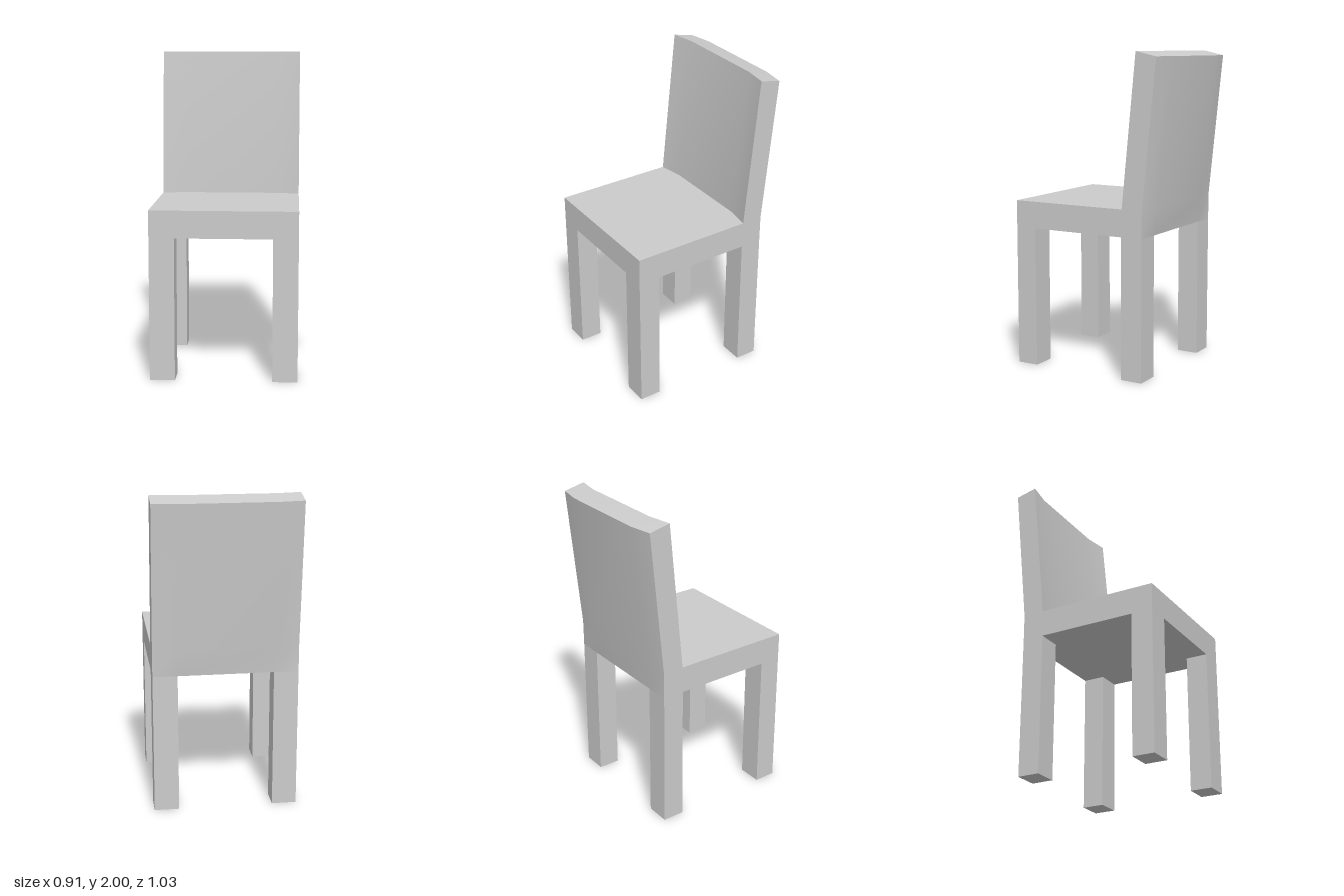
import * as THREE from 'three';
import { toCreasedNormals } from 'three/addons/utils/BufferGeometryUtils.js';

const X = 0.455, INNER = 0.3;          // half width, half gap between legs
const SEAT_Y = 0.89, SEAT_TOP = 1.06;
const FRONT = 0.513, BACK = -0.395;

// Backrest rows: height and z of the front and back faces, at the sides and in the middle
const ROWS = [
  { yf: SEAT_Y, yb: SEAT_Y, side: [-0.258, BACK], mid: [-0.284, BACK] },
  { yf: SEAT_TOP, yb: SEAT_TOP, side: [-0.258, -0.396], mid: [-0.284, -0.421] },
  { yf: 2.0, yb: 1.97, side: [-0.352, -0.488], mid: [-0.378, -0.513] },
];

// Loft of eight-point rings: four points along the front, four back along the rear
function backrestGeometry() {
  const pos = [], idx = [];
  const xs = [-X, -INNER, INNER, X];
  for (const r of ROWS) {
    const zAt = (x, k) => (Math.abs(x) === X ? r.side[k] : r.mid[k]);
    for (const x of xs) pos.push(x, r.yf, zAt(x, 0));
    for (const x of [...xs].reverse()) pos.push(x, r.yb, zAt(x, 1));
  }
  const quad = (a, b, c, d) => idx.push(a, b, c, a, c, d);
  for (let j = 0; j < ROWS.length - 1; j++)
    for (let i = 0; i < 8; i++) {
      const a = j * 8 + i, b = j * 8 + (i + 1) % 8;
      quad(a, b, b + 8, a + 8);
    }
  const top = (ROWS.length - 1) * 8;
  for (let i = 0; i < 3; i++) {
    quad(top + i, top + i + 1, top + 6 - i, top + 7 - i);
    quad(7 - i, 6 - i, i + 1, i);
  }
  const g = new THREE.BufferGeometry();
  g.setAttribute('position', new THREE.Float32BufferAttribute(pos, 3));
  g.setIndex(idx);
  return toCreasedNormals(g, 0.5);
}

// Seat slab whose rear edge follows the curve of the backrest
function seatGeometry() {
  const { side, mid } = ROWS[1];
  const plan = [[-X, FRONT], [X, FRONT], [X, side[0]], [INNER, mid[0]], [-INNER, mid[0]], [-X, side[0]]];
  const shape = new THREE.Shape(plan.map(([x, z]) => new THREE.Vector2(x, -z)));
  const g = new THREE.ExtrudeGeometry(shape, { depth: SEAT_TOP - SEAT_Y, bevelEnabled: false });
  return g.rotateX(-Math.PI / 2).translate(0, SEAT_Y, 0);
}

export function createModel() {
  const chair = new THREE.Group();
  chair.name = 'chair';
  const material = new THREE.MeshStandardMaterial({ color: 0xcccccc });
  const add = (name, geometry) => {
    const mesh = new THREE.Mesh(geometry, material);
    mesh.name = name;
    chair.add(mesh);
    return mesh;
  };

  add('seat', seatGeometry());
  add('backrest', backrestGeometry());

  // Four square legs
  for (const [end, z0, z1] of [['front', 0.373, FRONT], ['back', BACK, -0.255]])
    for (const [sideName, s] of [['Left', 1], ['Right', -1]])
      add(`${end}${sideName}Leg`, new THREE.BoxGeometry(X - INNER, SEAT_Y, z1 - z0))
        .position.set(s * (X + INNER) / 2, SEAT_Y / 2, (z0 + z1) / 2);

  return chair;
}
